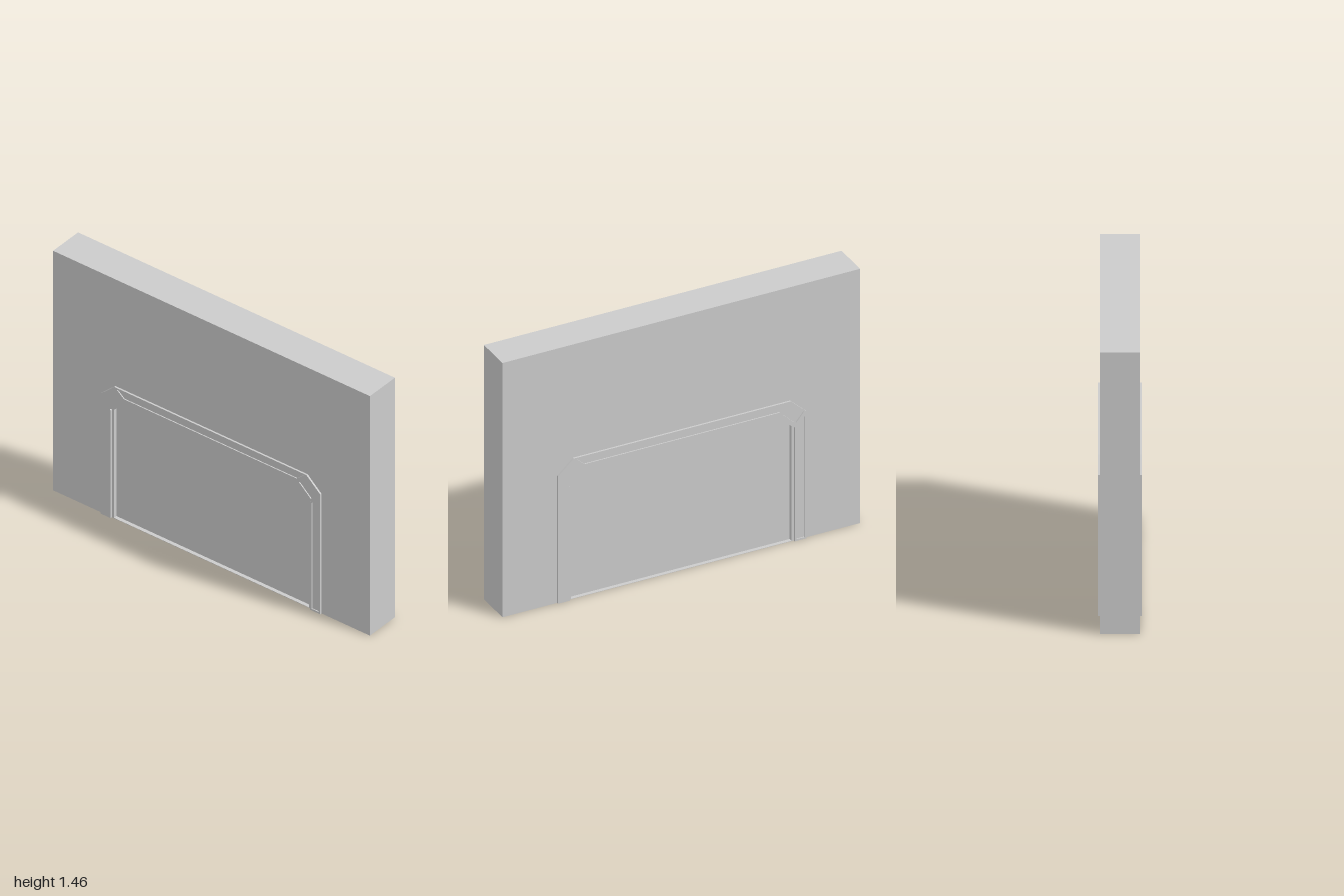
import * as THREE from 'three';

const material = new THREE.MeshStandardMaterial({ color: 0xcccccc, flatShading: true });
const vec = (points) => points.map(([u, y]) => new THREE.Vector2(u, y));
const mirror = (points) => points.map(([u, y]) => [-u, y]);
// Completes a left half outline with its mirrored right half
const symmetric = (half) => [...half, ...mirror(half).reverse()];

// Flat plate outlined in the wall plane, from depth x0 to x1
function plate(name, outline, holes, x0, x1) {
  const shape = new THREE.Shape(vec(outline));
  for (const h of holes) shape.holes.push(new THREE.Path(vec(h)));
  const geometry = new THREE.ExtrudeGeometry(shape, { depth: x1 - x0, bevelEnabled: false });
  geometry.translate(0, 0, x0);
  geometry.rotateY(Math.PI / 2);
  const mesh = new THREE.Mesh(geometry, material);
  mesh.name = name;
  return mesh;
}

const opening = symmetric([[-0.616, 0], [-0.616, 0.66], [-0.543, 0.736]]);
const upperPanel = [
  [-0.59, 0.415], [-0.59, 0.65], [-0.533, 0.71], [0.533, 0.71], [0.59, 0.65], [0.59, 0.415],
  [0.265, 0.415], [0.09, 0.235], [-0.1, 0.235], [-0.29, 0.415],
];
const lowerPanel = [
  [-0.59, 0.03], [-0.59, 0.365], [-0.32, 0.365], [-0.115, 0.185],
  [0.115, 0.185], [0.29, 0.365], [0.59, 0.365], [0.59, 0.03],
];

// Door surround pieces: outline and sunken inset
const jamb = [[-0.694, 0], [-0.694, 0.73], [-0.635, 0.66], [-0.629, 0.655], [-0.629, 0]];
const jambInset = [[-0.683, 0.01], [-0.683, 0.705], [-0.64, 0.655], [-0.64, 0.01]];
const corner = [[-0.694, 0.73], [-0.607, 0.81], [-0.543, 0.755], [-0.635, 0.66]];
const cornerInset = [[-0.68, 0.731], [-0.617, 0.793], [-0.56, 0.746], [-0.635, 0.677]];
const beam = symmetric([[-0.607, 0.81], [-0.543, 0.755]]);
const beamInset = symmetric([[-0.59, 0.8], [-0.545, 0.762]]);

function doorSide() {
  const side = new THREE.Group();
  side.add(plate('doorLeafFrame', symmetric([[-0.616, 0], [-0.616, 0.66], [-0.543, 0.736]]),
    [upperPanel, lowerPanel], 0.055, 0.08));
  const framed = (name, outline, inset) => {
    side.add(plate(name + 'Base', outline, [], 0.095, 0.104));
    side.add(plate(name + 'Rim', outline, [inset], 0.104, 0.11));
  };
  framed('leftJamb', jamb, jambInset);
  framed('rightJamb', mirror(jamb), mirror(jambInset));
  framed('leftCorner', corner, cornerInset);
  framed('rightCorner', mirror(corner), mirror(cornerInset));
  framed('lintel', beam, beamInset);
  return side;
}

export function createModel() {
  const group = new THREE.Group();

  // Wall with the doorway cut from its lower edge
  const wallOutline = [[-1, 0], [-1, 1.46], [1, 1.46], [1, 0], ...[...opening].reverse()];
  group.add(plate('wall', wallOutline, [], -0.1, 0.1));

  // Door core behind the raised leaf frames, and the threshold
  group.add(plate('doorCore', opening, [], -0.055, 0.055));
  const threshold = new THREE.Mesh(new THREE.BoxGeometry(0.2, 0.002, 1.232), material);
  threshold.name = 'threshold';
  threshold.position.y = 0.001;
  group.add(threshold);

  // Same door face on both sides, turned half a circle
  for (const [name, angle] of [['leftDoorFace', 0], ['rightDoorFace', Math.PI]]) {
    const side = doorSide();
    side.name = name;
    side.rotation.y = angle;
    group.add(side);
  }
  return group;
}
